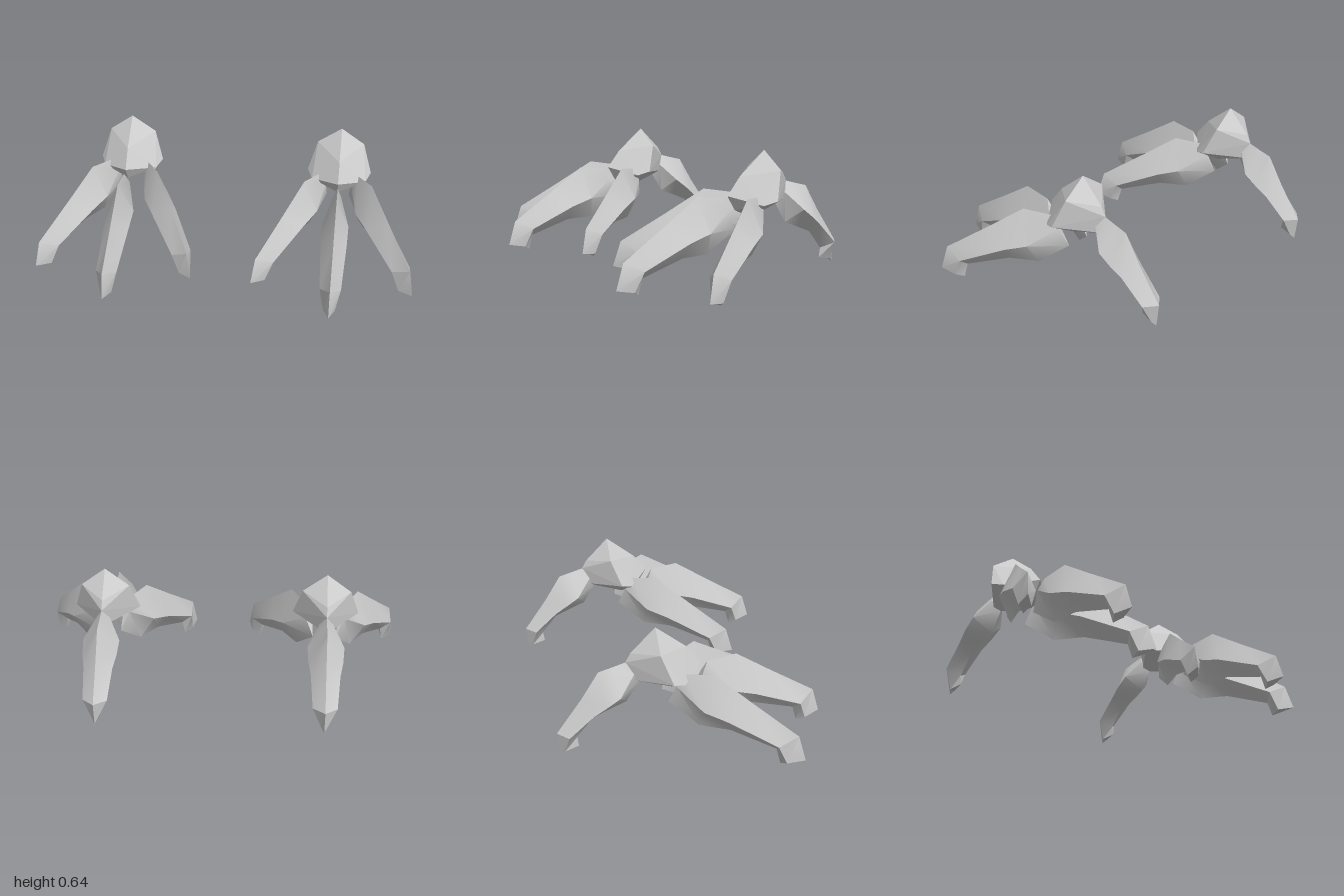
import * as THREE from 'three';
import { toCreasedNormals } from 'three/addons/utils/BufferGeometryUtils.js';
import { ConvexGeometry } from 'three/addons/geometries/ConvexGeometry.js';

// Toe cross-sections: [top d, top y, side d, side y, half width, bottom d, bottom y]
const FRONT_TOE = [
  [0.08, 0.425, 0.05, 0.36, 0.02, 0.0, 0.26],
  [0.23, 0.445, 0.2, 0.27, 0.07, 0.164, 0.15],
  [0.42, 0.322, 0.32, 0.235, 0.068, 0.32, 0.15],
  [0.655, 0.175, 0.57, 0.13, 0.054, 0.549, 0.085],
  [0.695, 0.045, 0.61, 0.03, 0.03, 0.572, 0.007],
];
const BACK_TOE = [
  [0.333, 0.474, 0.3, 0.42, 0.035, 0.267, 0.36],
  [0.4, 0.455, 0.38, 0.33, 0.094, 0.333, 0.255],
  [0.47, 0.437, 0.45, 0.28, 0.088, 0.42, 0.22],
  [0.556, 0.3, 0.51, 0.235, 0.074, 0.504, 0.185],
  [0.685, 0.122, 0.633, 0.12, 0.062, 0.585, 0.085],
  [0.67, 0.0, 0.65, 0.02, 0.015, 0.578, 0.033],
];

// Four-sided loft along +z with a ridge on top, below and on each side
function toeGeometry(stations) {
  const points = [];
  const index = [];
  for (const [td, ty, sd, sy, w, bd, by] of stations) {
    points.push(0, ty, td, w, sy, sd, 0, by, bd, -w, sy, sd);
  }
  for (let s = 0; s < stations.length - 1; s++) {
    for (let k = 0; k < 4; k++) {
      const a = s * 4 + k;
      const b = s * 4 + ((k + 1) % 4);
      index.push(a, a + 4, b, b, a + 4, b + 4);
    }
  }
  const e = (stations.length - 1) * 4;
  index.push(0, 1, 3, 1, 2, 3, e, e + 3, e + 1, e + 1, e + 3, e + 2);
  const geometry = new THREE.BufferGeometry();
  geometry.setAttribute('position', new THREE.Float32BufferAttribute(points, 3));
  geometry.setIndex(index);
  return toCreasedNormals(geometry, 0.5);
}

// Faceted, pointed ankle block
function ankleGeometry() {
  const points = [
    [0, 0.645, -0.185], // peak
    [0, 0.522, -0.03], [0, 0.43, 0.045], [0, 0.355, 0.0], // front ridge
    [0, 0.305, -0.104], // underside
    [0, 0.52, -0.31], [0, 0.474, -0.335], [0, 0.38, -0.325], // back ridge
  ];
  for (const s of [-1, 1]) {
    points.push([s * 0.125, 0.555, -0.19], [s * 0.172, 0.41, -0.135], [s * 0.145, 0.39, -0.07]);
  }
  return new ConvexGeometry(points.map((p) => new THREE.Vector3(...p)));
}

export function createModel() {
  const model = new THREE.Group();
  model.name = 'feet';
  const smooth = new THREE.MeshStandardMaterial({ color: 0xcccccc });
  const flat = new THREE.MeshStandardMaterial({ color: 0xcccccc, flatShading: true });
  const frontToe = toeGeometry(FRONT_TOE);
  const backToe = toeGeometry(BACK_TOE);
  const ankle = ankleGeometry();

  for (const side of [-1, 1]) {
    const foot = new THREE.Group();
    foot.name = side > 0 ? 'leftFoot' : 'rightFoot';
    foot.position.x = side * 0.577;

    const add = (name, geometry, material, x = 0, z = 0, turn = 0) => {
      const mesh = new THREE.Mesh(geometry, material);
      mesh.name = name;
      mesh.position.set(x, 0, z);
      mesh.rotation.y = turn;
      foot.add(mesh);
    };

    add('ankle', ankle, flat);
    add('middleToe', frontToe, smooth);
    // Splayed side toes
    for (const s of [-1, 1]) {
      add(s > 0 ? 'leftToe' : 'rightToe', frontToe, smooth, s * 0.06, -0.136, s * 0.541);
    }
    add('backToe', backToe, smooth, 0, 0, Math.PI);
    model.add(foot);
  }
  return model;
}
